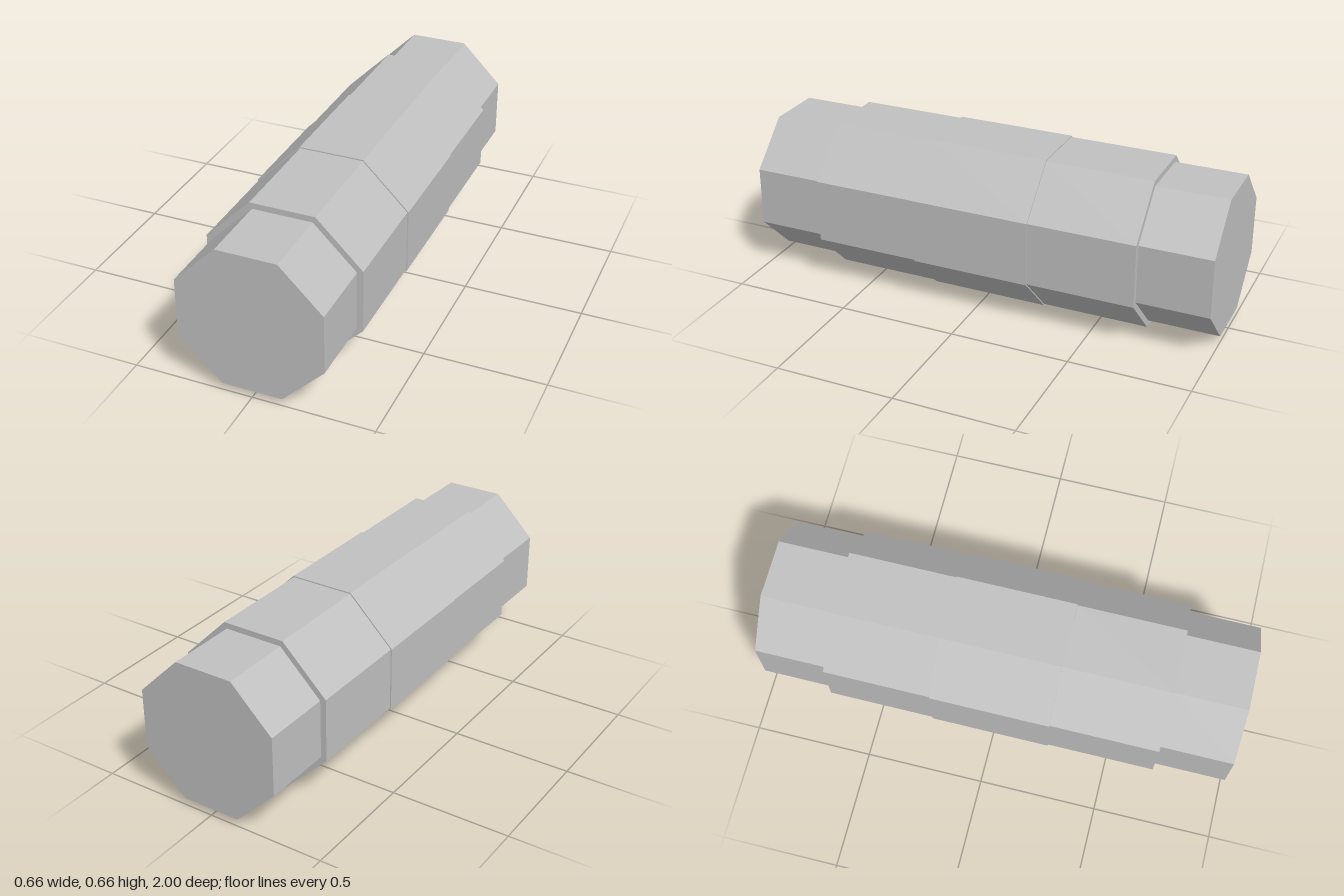
import * as THREE from 'three';

const CENTRE_Y = 0.33;

// Octagonal prism along z, resting on a flat; apothem is centre to flat
function prism(name, apothem, z0, z1, material) {
  const radius = apothem / Math.cos(Math.PI / 8);
  const geometry = new THREE.CylinderGeometry(radius, radius, z1 - z0, 8);
  geometry.rotateY(Math.PI / 8).rotateX(Math.PI / 2);
  const mesh = new THREE.Mesh(geometry, material);
  mesh.name = name;
  mesh.position.set(0, CENTRE_Y, (z0 + z1) / 2);
  return mesh;
}

export function createModel() {
  const group = new THREE.Group();
  group.name = 'steppedOctagonalBarrel';
  const grey = new THREE.MeshStandardMaterial({ color: 0xc0c0c0 });
  grey.name = 'light grey';
  grey.flatShading = true;

  // Widest band in the middle
  group.add(prism('centreSection', 0.33, -0.25, 0.25, grey));

  // Sections stepping down towards both ends
  group.add(prism('frontSection', 0.325, 0.25, 0.7, grey));
  group.add(prism('backSection', 0.325, -0.7, -0.25, grey));
  group.add(prism('frontEnd', 0.3, 0.7, 1, grey));
  group.add(prism('backEnd', 0.3, -1, -0.7, grey));
  return group;
}
